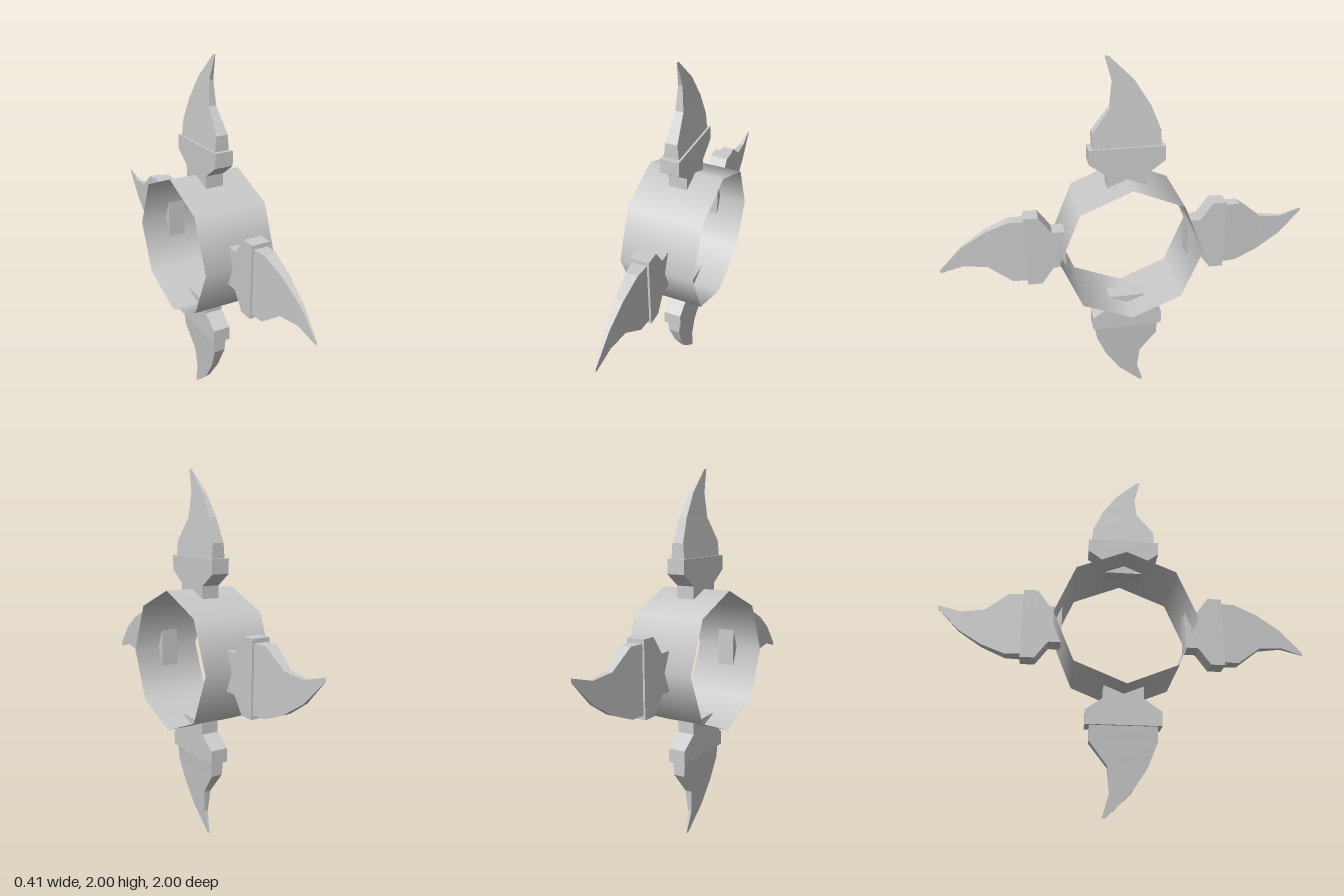
import * as THREE from 'three';

const ringMaterial = new THREE.MeshStandardMaterial({ color: 0xcccccc, side: THREE.DoubleSide });
const bladeMaterial = new THREE.MeshStandardMaterial({ color: 0xcccccc, flatShading: true });

// Rectangular sections [y, zFront, zBack, halfThickness], joined and capped
function loft(sections) {
  const positions = [], index = [];
  for (const [y, front, back, t] of sections) {
    positions.push(t, y, front, t, y, back, -t, y, back, -t, y, front);
  }
  const quad = (a, b, c, d) => index.push(a, b, c, a, c, d);
  for (let s = 0; s < sections.length - 1; s++) {
    for (let i = 0; i < 4; i++) {
      const a = s * 4 + i, b = s * 4 + (i + 1) % 4;
      quad(a, b, b + 4, a + 4);
    }
  }
  const top = (sections.length - 1) * 4;
  quad(3, 2, 1, 0);
  quad(top, top + 1, top + 2, top + 3);
  const geometry = new THREE.BufferGeometry();
  geometry.setAttribute('position', new THREE.Float32BufferAttribute(positions, 3));
  geometry.setIndex(index);
  const flat = geometry.toNonIndexed();
  flat.computeVertexNormals();
  return flat;
}

// Stem flaring into a wider collar
const collarSections = [
  [0.335, 0.105, -0.105, 0.05],
  [0.403, 0.105, -0.105, 0.05],
  [0.47, 0.198, -0.198, 0.05],
  [0.547, 0.198, -0.198, 0.05],
];

// Curved blade thinning towards its tip
const bladeSections = [
  [0.547, 0.176, -0.176, 0.039],
  [0.626, 0.176, -0.176, 0.032],
  [0.752, 0.08, -0.124, 0.021],
  [0.877, 0.067, -0.043, 0.011],
  [1, 0.103, 0.085, 0.001],
];

export function createModel() {
  const model = new THREE.Group();
  model.name = 'bladedRing';

  // Thin open eight-sided ring around the x axis
  const ringGeometry = new THREE.CylinderGeometry(0.38, 0.38, 0.406, 8, 1, true).rotateZ(Math.PI / 2);
  const ring = new THREE.Mesh(ringGeometry, ringMaterial);
  ring.name = 'ring';
  ring.position.y = 1;
  model.add(ring);

  // Four blades spaced evenly round the ring
  const collarGeometry = loft(collarSections);
  const bladeGeometry = loft(bladeSections);
  ['top', 'front', 'bottom', 'back'].forEach((side, i) => {
    const arm = new THREE.Group();
    arm.name = side + 'Arm';
    const collar = new THREE.Mesh(collarGeometry, bladeMaterial);
    collar.name = side + 'Collar';
    const blade = new THREE.Mesh(bladeGeometry, bladeMaterial);
    blade.name = side + 'Blade';
    arm.add(collar, blade);
    arm.position.y = 1;
    arm.rotation.x = i * Math.PI / 2;
    model.add(arm);
  });

  return model;
}
